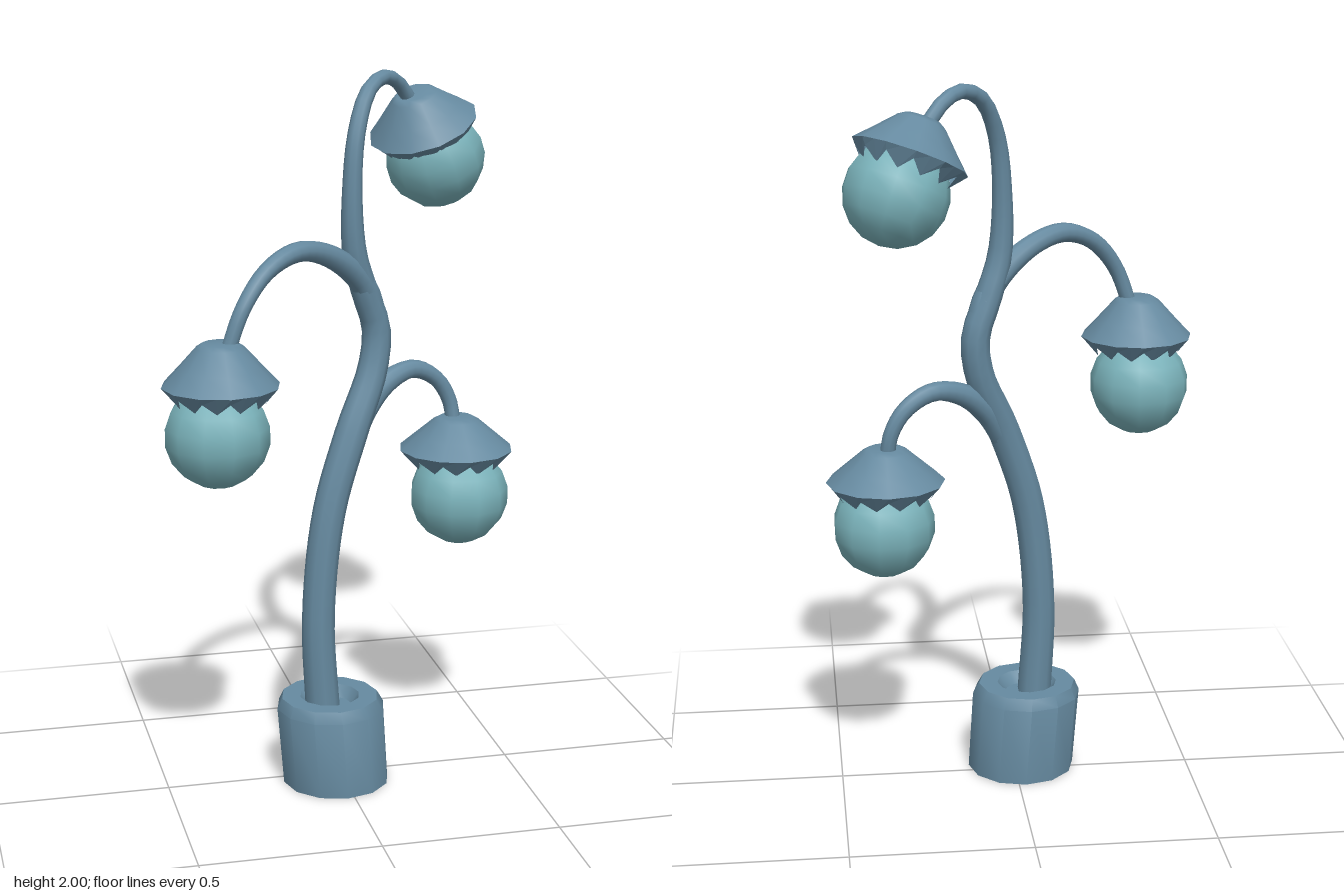
import * as THREE from 'three';
import { toCreasedNormals } from 'three/addons/utils/BufferGeometryUtils.js';

const metal = new THREE.MeshStandardMaterial({ color: 0x668aa0, side: THREE.DoubleSide });
const pleated = new THREE.MeshStandardMaterial({ color: 0x668aa0, side: THREE.DoubleSide, flatShading: true });
const glass = new THREE.MeshStandardMaterial({ color: 0x7ab2ba });

function addMesh(parent, name, geometry, material) {
  const mesh = new THREE.Mesh(geometry, material);
  mesh.name = name;
  parent.add(mesh);
  return mesh;
}

// Tube along a smooth curve; each point is [x, y, z, radius]
function taperedTube(points, segments) {
  const curve = new THREE.CatmullRomCurve3(points.map(p => new THREE.Vector3(p[0], p[1], p[2])));
  const sides = 10;
  const geo = new THREE.TubeGeometry(curve, segments, 1, sides);
  const pos = geo.attributes.position;
  const v = new THREE.Vector3();
  for (let i = 0; i <= segments; i++) {
    const centre = curve.getPointAt(i / segments);
    const t = curve.getUtoTmapping(i / segments) * (points.length - 1);
    const k = Math.min(Math.floor(t), points.length - 2);
    const radius = THREE.MathUtils.lerp(points[k][3], points[k + 1][3], t - k);
    for (let j = 0; j <= sides; j++) {
      const n = i * (sides + 1) + j;
      v.fromBufferAttribute(pos, n).sub(centre).multiplyScalar(radius).add(centre);
      pos.setXYZ(n, v.x, v.y, v.z);
    }
  }
  return geo;
}

function lathe(profile, sides) {
  return new THREE.LatheGeometry(profile.map(p => new THREE.Vector2(p[0], p[1])), sides);
}

// Zigzag skirt below the shade: the lower edge alternates between long and short
function pleatGeometry(radius, count) {
  const geo = new THREE.CylinderGeometry(1, 1, 1, count * 2, 1, true);
  const pos = geo.attributes.position;
  for (let i = 0; i < pos.count; i++) {
    const step = i % (count * 2 + 1);
    const onCorner = step % 2 === 0;
    const angle = step * Math.PI / count;
    const upper = pos.getY(i) > 0;
    const flat = onCorner ? 1 : Math.cos(Math.PI / count);
    const r = upper ? radius * flat : onCorner ? radius * 0.9 : radius * 0.74;
    const y = upper ? 0 : onCorner ? -0.018 : -0.05;
    pos.setXYZ(i, Math.sin(angle) * r, y, Math.cos(angle) * r);
  }
  return geo;
}

// Lamp head: flared shade, pleated skirt and round globe
function lamp(name, { rim, globe, height, radius, axis }) {
  const group = new THREE.Group();
  group.name = name;
  const head = new THREE.Group();
  head.name = 'shade';
  head.position.set(...rim);
  head.quaternion.setFromUnitVectors(new THREE.Vector3(0, 1, 0), new THREE.Vector3(...axis).normalize());
  group.add(head);
  const cap = lathe([[radius, 0], [radius * 0.72, height * 0.42], [0.065, height * 0.9], [0.048, height], [0, height]], 12);
  addMesh(head, 'shadeCap', cap, metal);
  addMesh(head, 'shadePleats', pleatGeometry(radius, 12), pleated);
  const ball = addMesh(group, 'globe', new THREE.SphereGeometry(0.142, 11, 9), glass);
  ball.position.set(...globe);
  ball.quaternion.copy(head.quaternion);
  return group;
}

export function createModel() {
  const model = new THREE.Group();
  model.name = 'branchingLamp';

  // Base: chamfered drum, dished around the stem and recessed below, leaning slightly
  const drum = lathe([
    [0, 0.03], [0.052, 0.03], [0.052, 0], [0.152, 0], [0.154, 0.225],
    [0.138, 0.256], [0.085, 0.256], [0.06, 0.225], [0, 0.225],
  ], 12);
  const pos = drum.attributes.position;
  for (let i = 0; i < pos.count; i++) pos.setX(i, pos.getX(i) - pos.getY(i) * 0.07);
  const base = addMesh(model, 'base', toCreasedNormals(drum, 0.7), metal);
  base.position.set(-0.02, 0, 0.037);

  // Main stem, curling over at the top
  addMesh(model, 'mainStem', taperedTube([
    [-0.06, 0.2, 0.05, 0.049], [-0.073, 0.5, 0.05, 0.046], [-0.04, 0.8, 0.04, 0.046],
    [0.03, 1.02, 0.015, 0.046], [0.1, 1.19, -0.025, 0.042], [0.112, 1.3, -0.035, 0.04],
    [0.075, 1.41, -0.02, 0.038], [0.042, 1.52, -0.002, 0.034], [0.035, 1.7, 0, 0.027],
    [0.052, 1.85, -0.018, 0.024], [0.095, 1.95, -0.065, 0.022], [0.153, 1.98, -0.123, 0.02],
    [0.21, 1.955, -0.18, 0.02], [0.26, 1.89, -0.215, 0.02],
  ], 48), metal);

  // Side branches
  addMesh(model, 'upperBranch', taperedTube([
    [0.11, 1.32, -0.035, 0.034], [0.08, 1.41, -0.02, 0.036], [0.03, 1.475, 0.01, 0.034],
    [-0.06, 1.535, 0.065, 0.03], [-0.15, 1.553, 0.125, 0.027], [-0.24, 1.515, 0.18, 0.024],
    [-0.31, 1.43, 0.22, 0.022], [-0.357, 1.31, 0.23, 0.021],
  ], 28), metal);
  addMesh(model, 'lowerBranch', taperedTube([
    [0.02, 0.98, 0.02, 0.036], [0.08, 1.085, -0.015, 0.036], [0.15, 1.145, -0.05, 0.031],
    [0.235, 1.165, -0.09, 0.026], [0.31, 1.125, -0.115, 0.023], [0.35, 1.06, -0.122, 0.021],
    [0.363, 0.98, -0.115, 0.021],
  ], 24), metal);

  // Three lamp heads
  model.add(
    lamp('topLamp', {
      rim: [0.295, 1.83, -0.235], globe: [0.333, 1.738, -0.243], height: 0.105, radius: 0.157, axis: [-0.38, 1, 0.28],
    }),
    lamp('rightLamp', {
      rim: [-0.373, 1.23, 0.226], globe: [-0.38, 1.09, 0.206], height: 0.113, radius: 0.158, axis: [0, 1, 0],
    }),
    lamp('leftLamp', {
      rim: [0.366, 0.922, -0.103], globe: [0.372, 0.788, -0.086], height: 0.093, radius: 0.163, axis: [0, 1, 0],
    }),
  );
  return model;
}
